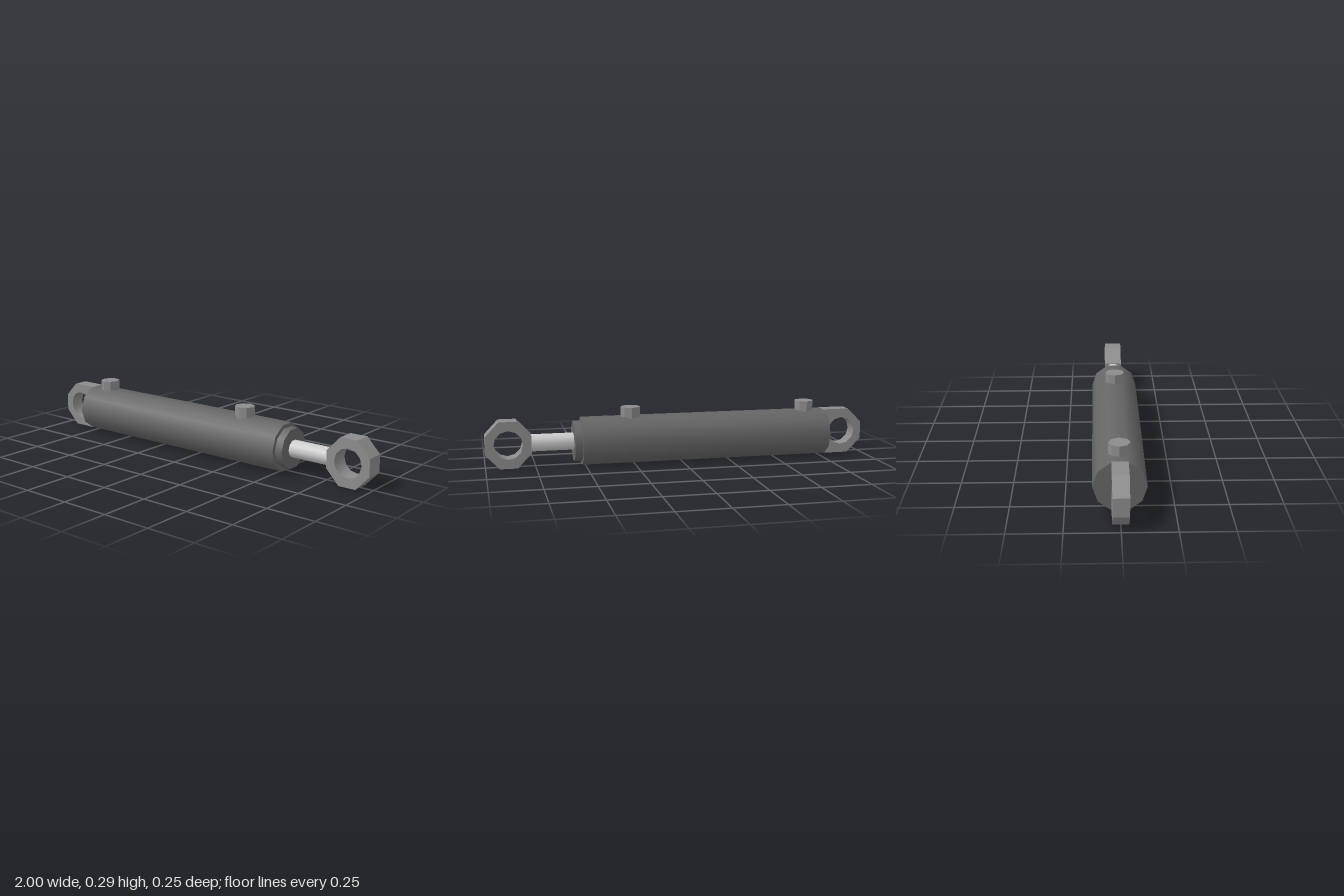
import * as THREE from 'three';
import { toCreasedNormals } from 'three/addons/utils/BufferGeometryUtils.js';

const AXIS_Y = 0.12;

export function createModel() {
  const model = new THREE.Group();
  model.name = 'hydraulicCylinder';

  const dark = new THREE.MeshStandardMaterial({ color: 0x666666 });
  const mid = new THREE.MeshStandardMaterial({ color: 0x8c8c8c });
  const midFlat = new THREE.MeshStandardMaterial({ color: 0x8c8c8c, flatShading: true });
  const chrome = new THREE.MeshStandardMaterial({ color: 0xcccccc });

  function add(name, geometry, material) {
    const mesh = new THREE.Mesh(geometry, material);
    mesh.name = name;
    model.add(mesh);
    return mesh;
  }

  // Ten-sided smooth cylinder lying along x between two stations
  function addAxial(name, x0, x1, radius, material) {
    const geometry = new THREE.CylinderGeometry(radius, radius, x1 - x0, 10);
    geometry.rotateZ(-Math.PI / 2);
    add(name, geometry, material).position.set((x0 + x1) / 2, AXIS_Y, 0);
  }

  addAxial('barrel', -0.795, 0.515, 0.124, dark);
  addAxial('gland', 0.505, 0.555, 0.104, dark);
  addAxial('rod', 0.55, 0.79, 0.044, chrome);

  // Mounting eye: outline in the xy plane with a round pin hole at its origin
  function addEye(name, x, outline, halfDepth) {
    const shape = new THREE.Shape(outline.map(([px, py]) => new THREE.Vector2(px, py)));
    const hole = [];
    for (let i = 0; i < 12; i++) {
      const a = -(i / 12) * Math.PI * 2;
      hole.push(new THREE.Vector2(Math.cos(a) * 0.073, Math.sin(a) * 0.073));
    }
    shape.holes.push(new THREE.Path(hole));
    const geometry = new THREE.ExtrudeGeometry(shape, { depth: halfDepth * 2, bevelEnabled: false });
    geometry.translate(0, 0, -halfDepth);
    // Keeps the outer corners sharp and the hole wall smooth
    add(name, toCreasedNormals(geometry, 0.6), mid).position.set(x, AXIS_Y, 0);
  }

  const w = 0.115, h = 0.119, c = 0.045;
  addEye('rodEye', 0.885, [
    [w, -c], [w, c], [c, h], [-c, h], [-w, c], [-w, -c], [-c, -h], [c, -h],
  ], 0.047);

  // Base eye runs straight into the barrel end
  addEye('baseEye', -0.888, [
    [0.1, -h], [0.1, h], [-0.038, h], [-0.112, c], [-0.112, -c], [-0.038, -h],
  ], 0.038);

  // Oil ports on top of the barrel
  for (const [name, x] of [['basePort', -0.685], ['rodPort', 0.258]]) {
    const port = add(name, new THREE.CylinderGeometry(0.051, 0.051, 0.078, 8), midFlat);
    port.position.set(x, 0.249, 0);
  }

  return model;
}
